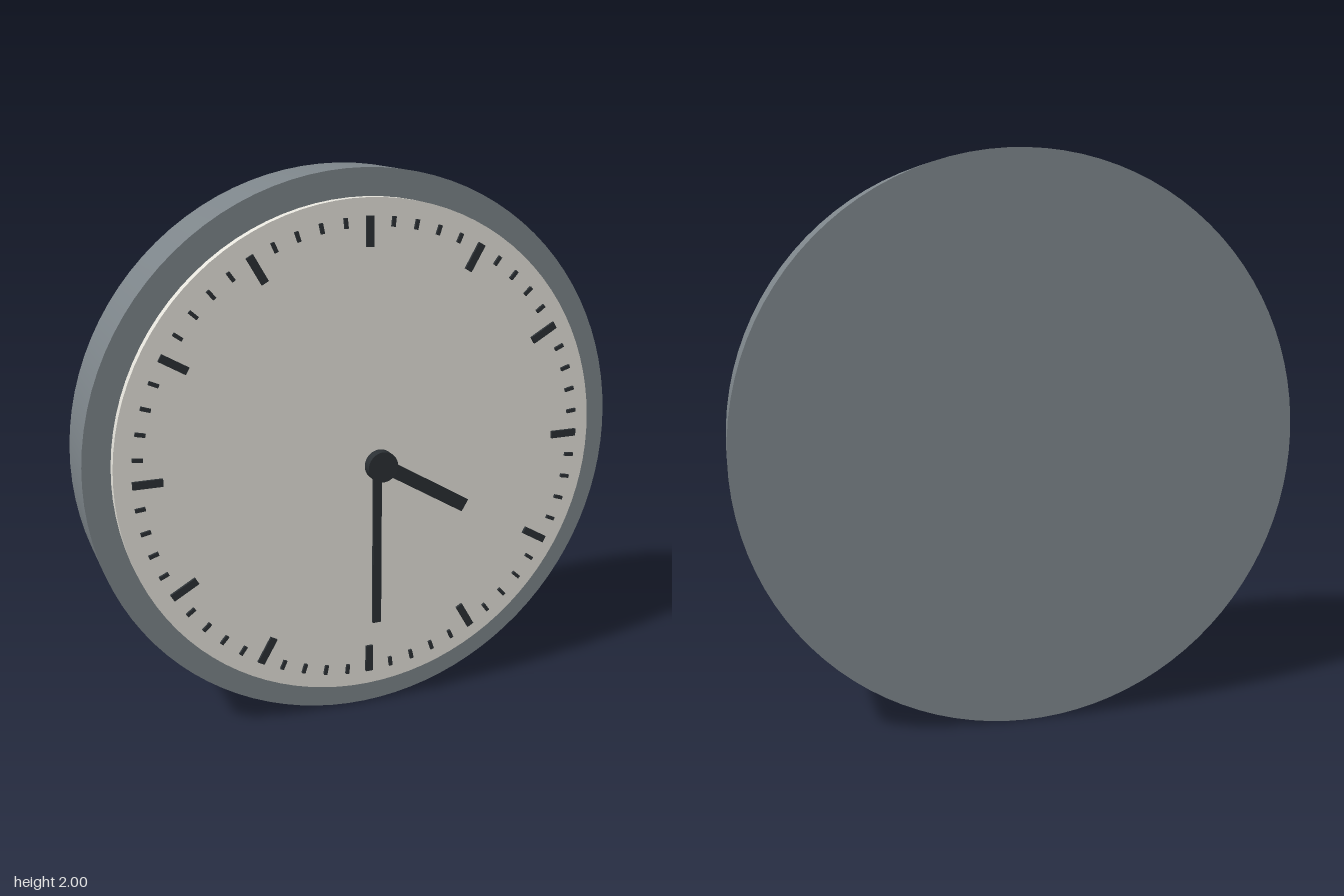
import * as THREE from 'three';

const material = (color) => new THREE.MeshStandardMaterial({ color });

export function createModel() {
  const clock = new THREE.Group();
  clock.name = 'wallClock';
  const grey = material(0x7d858a);
  const cream = material(0xe6e4dc);
  const dark = material(0x2b3034);

  // Everything is arranged around the middle of the dial
  const dial = new THREE.Group();
  dial.name = 'dial';
  dial.position.y = 1;
  clock.add(dial);

  // Solid disc facing +z, between two depths
  const disc = (name, radius, back, front, mat, sides = 96) => {
    const geometry = new THREE.CylinderGeometry(radius, radius, front - back, sides);
    geometry.rotateX(Math.PI / 2);
    const mesh = new THREE.Mesh(geometry, mat);
    mesh.name = name;
    mesh.position.z = (back + front) / 2;
    dial.add(mesh);
  };

  // Bar running outwards from the centre at a clockwise angle from the top
  const bar = (name, inner, outer, width, depth, z, angle, tilt = 0) => {
    const geometry = new THREE.BoxGeometry(width, outer - inner, depth);
    geometry.translate(0, (inner + outer) / 2, 0);
    geometry.rotateX(tilt);
    geometry.rotateZ(-angle);
    const mesh = new THREE.Mesh(geometry, dark);
    mesh.name = name;
    mesh.position.z = z;
    dial.add(mesh);
  };

  // Case and raised face
  disc('case', 1, -0.218, 0.041, grey);
  disc('face', 0.905, 0.041, 0.078, cream);

  // Sixty marks, longer and wider on the hours
  for (let i = 0; i < 60; i++) {
    const hour = i % 5 === 0;
    bar(hour ? 'hourMark' : 'minuteMark', hour ? 0.742 : 0.81, 0.845,
      hour ? 0.027 : 0.013, 0.01, 0.091, (i / 60) * Math.PI * 2);
  }

  // Hands, the hour hand leaning slightly towards the face
  bar('hourHand', -0.02, 0.423, 0.05, 0.01, 0.143, THREE.MathUtils.degToRad(121), -0.032);
  bar('minuteHand', -0.04, 0.612, 0.032, 0.01, 0.162, Math.PI);

  // Centre cap
  disc('centreCap', 0.055, 0.181, 0.218, dark, 48);

  return clock;
}
